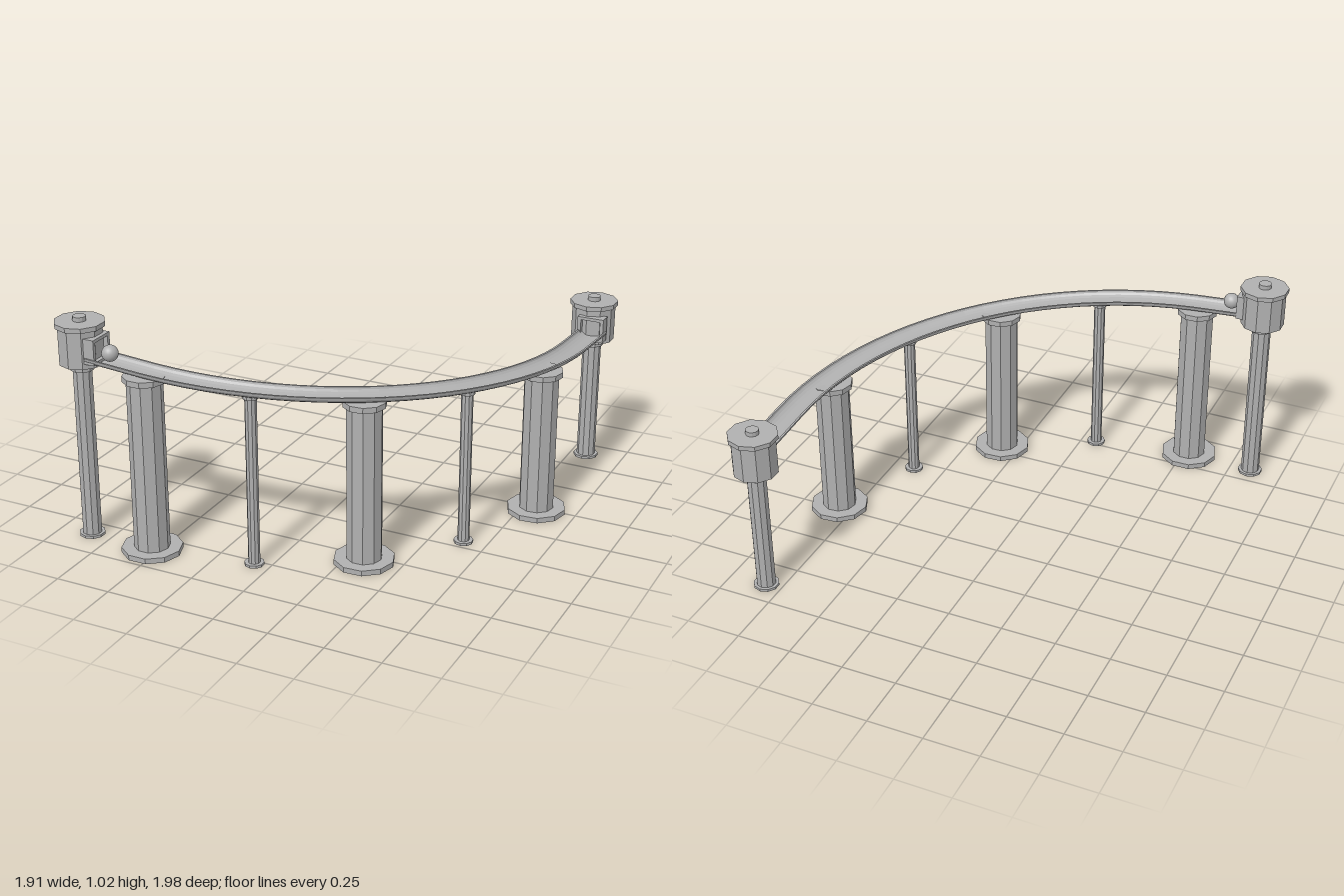
import * as THREE from 'three';

// Path: quarter arc with a short straight run at each end
const C = -0.54, R = 1.395, LEAD = 0.24, TAIL = 0.27;
const ARC = R * Math.PI / 2, LENGTH = LEAD + ARC + TAIL;
const DEPTH = 0.038, HALF = 0.065;

// Point on the path at distance s, with the outward direction and rim height
function pathAt(s) {
  const d = s - LEAD;
  const a = Math.PI / 2 - Math.min(Math.max(d, 0), ARC) / R;
  const before = Math.min(d, 0), after = Math.max(d - ARC, 0);
  return {
    x: C + R * Math.cos(a) + before,
    z: C + R * Math.sin(a) - after,
    y: 0.868 - 0.193 * s / LENGTH,
    nx: Math.cos(a), nz: Math.sin(a), angle: a,
  };
}

// Curved gutter swept along the path
function trackGeometry() {
  const n = 11, steps = 30, section = [];
  for (let j = 0; j < n; j++) {
    const a = Math.PI * (1 + j / (n - 1));
    section.push([HALF * Math.cos(a), DEPTH * Math.sin(a)]);
  }
  for (let j = n - 1; j >= 0; j--) {
    const a = Math.PI * (1 + j / (n - 1));
    section.push([(HALF - 0.009) * Math.cos(a), (DEPTH - 0.009) * Math.sin(a)]);
  }
  const m = section.length, pos = [], idx = [];
  for (let i = 0; i <= steps; i++) {
    const p = pathAt(LENGTH * i / steps);
    for (const [u, v] of section) pos.push(p.x + p.nx * u, p.y + v, p.z + p.nz * u);
  }
  for (let i = 0; i < steps; i++) {
    for (let j = 0; j < m; j++) {
      const a = i * m + j, b = i * m + (j + 1) % m;
      idx.push(a, a + m, b, b, a + m, b + m);
    }
  }
  // End caps
  const e = steps * m;
  for (let j = 0; j < n - 1; j++) {
    const q = [j, j + 1, m - 2 - j, m - 1 - j];
    idx.push(q[0], q[1], q[2], q[0], q[2], q[3]);
    idx.push(e + q[0], e + q[2], e + q[1], e + q[0], e + q[3], e + q[2]);
  }
  const g = new THREE.BufferGeometry();
  g.setAttribute('position', new THREE.Float32BufferAttribute(pos, 3));
  g.setIndex(idx);
  const flat = g.toNonIndexed();
  flat.computeVertexNormals();
  return flat;
}

export function createModel() {
  const model = new THREE.Group();
  const grey = new THREE.MeshStandardMaterial({ color: 0xb0b0b0 });
  grey.name = 'grey';

  function add(parent, name, geometry) {
    const mesh = new THREE.Mesh(geometry, grey);
    mesh.name = name;
    parent.add(mesh);
    return mesh;
  }

  // Flat-sided drum between two heights
  function drum(parent, name, r, y0, y1, sides = 10) {
    const g = new THREE.CylinderGeometry(r, r, y1 - y0, sides).toNonIndexed();
    g.computeVertexNormals();
    add(parent, name, g).position.y = (y0 + y1) / 2;
  }

  // Column with foot and cap
  function column(name, x, z, turn, top, shaft, foot, footH, cap, capH) {
    const group = new THREE.Group();
    group.name = name;
    group.position.set(x, 0, z);
    group.rotation.y = turn;
    drum(group, 'foot', foot, 0, footH);
    drum(group, 'shaft', shaft, footH, top - capH);
    drum(group, 'cap', cap, top - capH, top);
    model.add(group);
  }

  add(model, 'track', trackGeometry());

  // Wide pillars and slim posts under the track
  for (const x of [-0.53, 0.335, 0.82]) {
    const s = LEAD + R * (Math.PI / 2 - Math.acos((x - C) / R));
    const p = pathAt(s);
    column('pillar', p.x, p.z, -p.angle, p.y - DEPTH + 0.006, 0.078, 0.133, 0.024, 0.094, 0.025);
  }
  for (const x of [-0.073, 0.645]) {
    const s = LEAD + R * (Math.PI / 2 - Math.acos((x - C) / R));
    const p = pathAt(s);
    column('slimPost', p.x, p.z, -p.angle, p.y - DEPTH + 0.006, 0.026, 0.043, 0.012, 0.034, 0.016);
  }

  // Towers at both ends, each with a lidded drum and a gateway to the track
  function tower(name, x, z, bottom, gate) {
    column(name + 'Post', x, z, 0, bottom - 0.014, 0.043, 0.057, 0.012, 0.052, 0.018);
    const head = new THREE.Group();
    head.name = name + 'Head';
    head.position.set(x, bottom, z);
    drum(head, 'body', 0.099, 0, 0.166);
    drum(head, 'lid', 0.11, 0.166, 0.187);
    drum(head, 'knob', 0.029, 0.187, 0.207, 12);
    model.add(head);

    const shape = new THREE.Shape();
    shape.moveTo(-0.062, 0).lineTo(0.062, 0).lineTo(0.062, 0.113);
    shape.lineTo(-0.062, 0.113).closePath();
    const hole = new THREE.Path();
    hole.moveTo(-0.046, 0.012).lineTo(-0.046, 0.099).lineTo(0.046, 0.099);
    hole.lineTo(0.046, 0.012).closePath();
    shape.holes.push(hole);
    const g = new THREE.ExtrudeGeometry(shape, { depth: 0.055, bevelEnabled: false });
    const frame = add(model, name + 'Gateway', g);
    frame.position.set(gate.x, bottom + 0.025, gate.z);
    frame.rotation.y = gate.turn;
  }
  tower('upper', -0.848, 0.84, 0.814, { x: -0.79, z: 0.852, turn: Math.PI / 2 });
  tower('lower', 0.825, -0.89, 0.605, { x: 0.85, z: -0.828, turn: 0 });

  // Ball at the start of the run
  add(model, 'ball', new THREE.SphereGeometry(0.036, 20, 14)).position.set(-0.69, 0.887, 0.86);

  return model;
}
